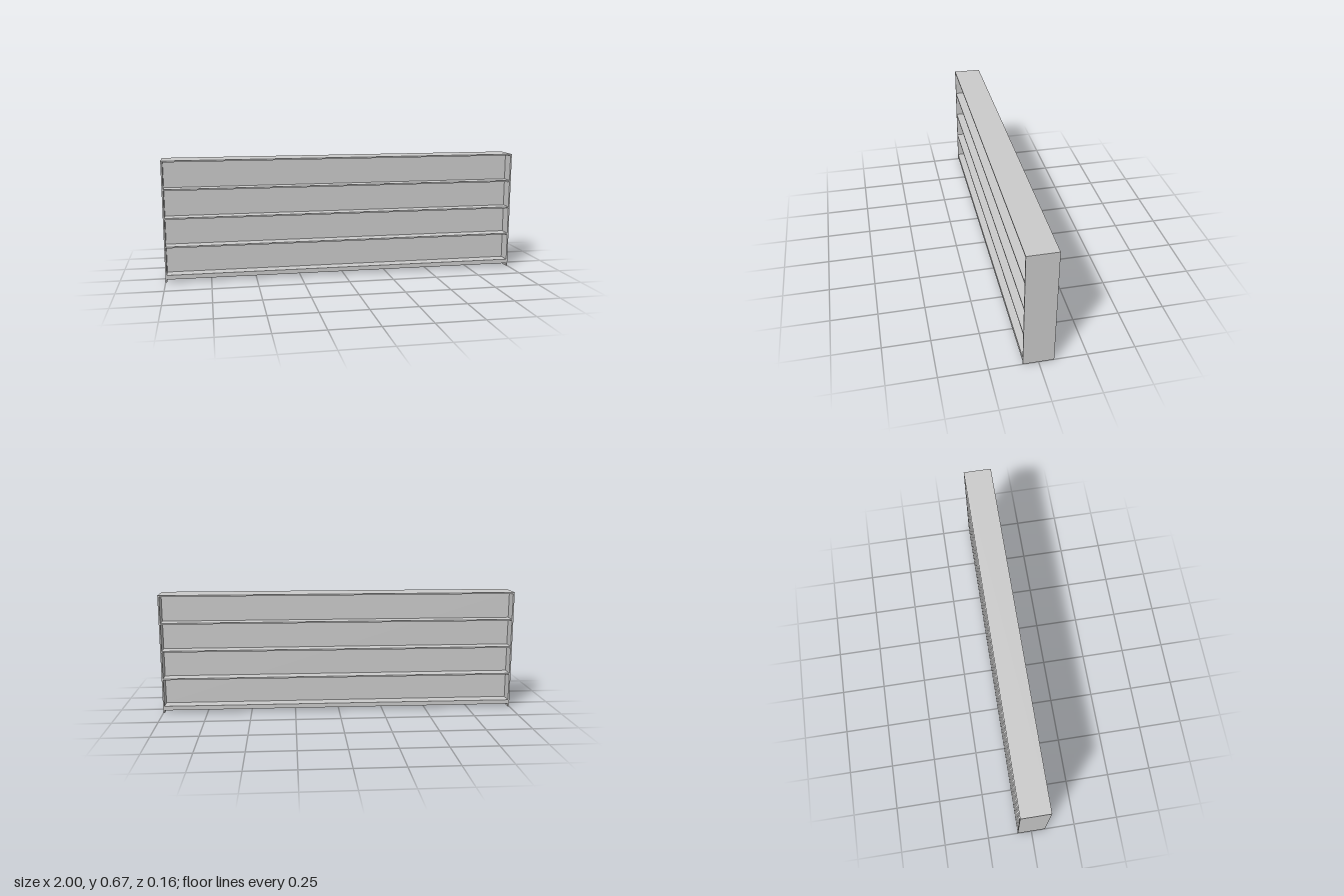
import * as THREE from 'three';

export function createModel() {
  const model = new THREE.Group();
  model.name = 'doubleSidedShelf';
  const material = new THREE.MeshStandardMaterial({ color: 0xcccccc, flatShading: true });

  const height = 0.672, depth = 0.159, board = 0.008;
  const inner = 2 - 2 * board;

  // Box given by its bottom and top heights
  function addBoard(name, width, bottom, top, thickness, x = 0) {
    const mesh = new THREE.Mesh(new THREE.BoxGeometry(width, top - bottom, thickness), material);
    mesh.name = name;
    mesh.position.set(x, (bottom + top) / 2, 0);
    model.add(mesh);
  }

  // End panels reach the ground
  for (const [name, side] of [['leftEndPanel', 1], ['rightEndPanel', -1]]) {
    addBoard(name, board, 0, height, depth, side * (1 - board / 2));
  }

  // Raised base and top board between the end panels
  addBoard('base', inner, 0.016, 0.04, depth);
  addBoard('topBoard', inner, height - board, height, depth);

  // Central divider, with shelves on both sides of it
  addBoard('centralDivider', inner, 0.04, height - board, 0.012);
  [0.2, 0.359, 0.517].forEach((top, i) => {
    addBoard(`shelf${i + 1}`, inner, top - board, top, depth);
  });

  return model;
}
